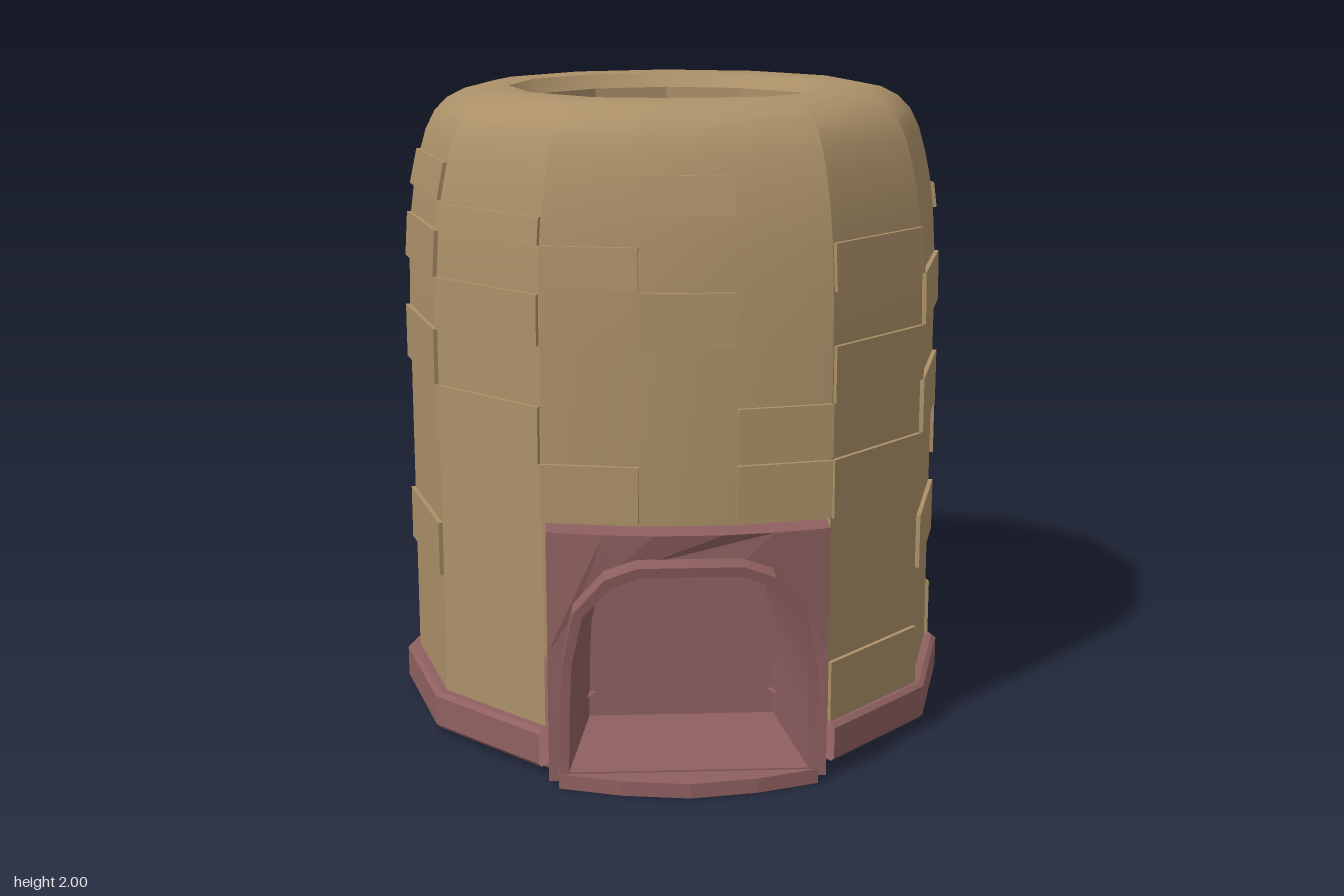
import * as THREE from 'three';
import { toCreasedNormals } from 'three/addons/utils/BufferGeometryUtils.js';

const clay = new THREE.MeshStandardMaterial({ color: 0xab9068, side: THREE.DoubleSide });
clay.name = 'sandyClay';
const brickRed = new THREE.MeshStandardMaterial({ color: 0x8f6060, side: THREE.DoubleSide });
brickRed.name = 'dustyRed';

const CENTRE_Z = -0.04;

// Unit plan: twelve-sided, with the front corner flattened into a shallow bow
const plan = [[0.165, 0.93]];
for (let k = 1; k < 12; k++) plan.push([Math.sin(k * Math.PI / 6), Math.cos(k * Math.PI / 6)]);
plan.push([-0.165, 0.93]);
const SIDES = plan.length;
const isFront = (j) => j === 0 || j >= 11;

// Joins a list of equal-length closed rings of [x, y, z] points
function skin(rings, crease, skip = () => false) {
  const n = rings[0].length;
  const index = [];
  for (let i = 0; i < rings.length - 1; i++) {
    for (let j = 0; j < n; j++) {
      if (skip(i, j)) continue;
      const a = i * n + j, b = i * n + (j + 1) % n;
      index.push(a, b, b + n, a, b + n, a + n);
    }
  }
  const g = new THREE.BufferGeometry();
  g.setAttribute('position', new THREE.Float32BufferAttribute(rings.flat(2), 3));
  g.setIndex(index);
  return toCreasedNormals(g, crease);
}

const planRing = ([r, y]) => plan.map(([x, z]) => [x * r, y, z * r + CENTRE_Z]);

// Tower outline, going up the outside
const outer = [
  [0.85, 0.14], [0.85, 0.78], [0.85, 1.3], [0.847, 1.46], [0.838, 1.6], [0.825, 1.7],
  [0.808, 1.78], [0.785, 1.86], [0.755, 1.92], [0.715, 1.96], [0.66, 1.988], [0.6, 2],
];
const inner = [[0.52, 1.995], [0.485, 1.95], [0.47, 0.14]];

function radiusAt(y) {
  for (let i = 1; i < outer.length; i++) {
    const [r0, y0] = outer[i - 1], [r1, y1] = outer[i];
    if (y <= y1) return r0 + (r1 - r0) * (y - y0) / (y1 - y0);
  }
  return outer[outer.length - 1][0];
}

// Thin raised block on one side of the tower, bent to follow the wall
function brickGeometry(side, y0, y1) {
  const g = new THREE.BoxGeometry(1, 1, 1);
  const p = g.attributes.position;
  const [ax, az] = plan[side], [bx, bz] = plan[(side + 1) % SIDES];
  for (let i = 0; i < p.count; i++) {
    const u = 0.01 + 0.98 * (p.getX(i) + 0.5);
    const y = y0 + (y1 - y0) * (p.getY(i) + 0.5);
    const r = radiusAt(y) + (p.getZ(i) > 0 ? 0.014 : -0.02);
    p.setXYZ(i, (ax + (bx - ax) * u) * r, y, (az + (bz - az) * u) * r + CENTRE_Z);
  }
  g.computeVertexNormals();
  return g;
}

// Half-arch as fractions of width and height, mirrored into a ring
const halfArch = [[1, 0], [0.99, 0.3], [0.97, 0.55], [0.88, 0.8], [0.64, 0.95], [0.4, 1]];
function arch(w, h, y0) {
  const right = halfArch.map(([x, y]) => [x * w, y0 + y * h]);
  return [...right, ...right.map(([x, y]) => [-x, y]).reverse()];
}

// Panel behind the arch, with its front bulging towards the top
function panelGeometry() {
  const pts = [[-0.385, 0], [-0.415, 0], [-0.415, 0.4], [-0.415, 0.775]];
  for (const x of [-0.25, -0.1, 0.1, 0.25]) pts.push([x, 0.775]);
  pts.push([0.415, 0.775], [0.415, 0.4], [0.415, 0]);
  pts.push(...arch(0.37, 0.68, 0));
  const shape = new THREE.Shape(pts.map(([x, y]) => new THREE.Vector2(x, y)));
  const g = new THREE.ExtrudeGeometry(shape, { depth: 1, bevelEnabled: false });
  const p = g.attributes.position;
  for (let i = 0; i < p.count; i++) {
    const x = p.getX(i), y = p.getY(i);
    const bulge = 0.06 * (1 - (x / 0.415) ** 2) * (y / 0.775) ** 2;
    p.setZ(i, p.getZ(i) > 0.5 ? 0.775 + bulge : 0.68);
  }
  g.computeVertexNormals();
  return g;
}

export function createModel() {
  const model = new THREE.Group();
  const add = (name, geometry, material, parent = model) => {
    const mesh = new THREE.Mesh(geometry, material);
    mesh.name = name;
    parent.add(mesh);
    return mesh;
  };

  // Hollow tower, left open in front for the doorway
  add('towerWall', skin([...outer, ...inner].map(planRing), 0.45,
    (i, j) => i === 0 && isFront(j)), clay);

  // Foundation with underside, outer lip and chamber floor
  const base = [[0, 0], [0.83, 0], [0.83, 0.02], [0.875, 0.02], [0.89, 0.035],
    [0.89, 0.13], [0.875, 0.142], [0.46, 0.142], [0, 0.142]];
  add('foundation', skin(base.map(planRing), 0.4,
    (i, j) => i >= 1 && i <= 6 && isFront(j)), brickRed);

  // Raised bricks: side of the plan, then [bottom, top] of each
  const bricks = new THREE.Group();
  bricks.name = 'raisedBricks';
  model.add(bricks);
  const layout = {
    0: [[0.79, 0.96], [0.97, 1.13]],
    1: [[0.14, 0.33], [0.78, 0.96], [1.13, 1.3], [1.46, 1.6]],
    2: [[0.52, 0.69], [0.96, 1.13], [1.3, 1.46]],
    3: [[0.14, 0.33], [0.78, 0.96], [1.6, 1.68]],
    4: [[0.33, 0.52], [1.13, 1.3], [1.3, 1.46]],
    5: [[0.14, 0.33], [0.78, 0.96], [0.96, 1.13]],
    6: [[0.33, 0.52], [0.96, 1.13], [1.3, 1.46]],
    7: [[0.14, 0.33], [0.69, 0.78], [0.78, 0.96]],
    9: [[0.52, 0.69], [1.13, 1.3], [1.46, 1.6], [1.69, 1.8]],
    10: [[0.96, 1.13], [1.31, 1.46], [1.6, 1.68]],
    11: [[0.79, 0.96], [1.48, 1.6]],
    12: [[1.31, 1.47], [1.69, 1.8]],
  };
  for (const [side, rows] of Object.entries(layout)) {
    for (const [y0, y1] of rows) add('brick', brickGeometry(Number(side), y0, y1), clay, bricks);
  }

  // Doorway: panel, flared arch with tapering recess, back wall and sill
  const door = new THREE.Group();
  door.name = 'doorway';
  model.add(door);
  add('doorPanel', panelGeometry(), brickRed, door);

  const flare = (y) => 0.83 + 0.07 * (y / 0.7) ** 2;
  const ring = (pts, z) => pts.map(([x, y]) => [x, y, z(y)]);
  const mouth = arch(0.355, 0.62, 0.05), back = arch(0.29, 0.56, 0.06);
  add('doorArch', skin([
    ring(arch(0.385, 0.7, 0), () => 0.72),
    ring(arch(0.385, 0.7, 0), flare),
    ring(mouth, flare),
    ring(back, () => 0.42),
  ], 0.4), brickRed, door);

  const backShape = new THREE.Shape(back.map(([x, y]) => new THREE.Vector2(x, y)));
  add('recessBack', new THREE.ShapeGeometry(backShape).translate(0, 0, 0.42), brickRed, door);

  const sill = [[-0.385, 0.7], [0.385, 0.7], [0.385, 0.83], [0.2, 0.89], [0, 0.92], [-0.2, 0.89], [-0.385, 0.83]];
  const sillShape = new THREE.Shape(sill.map(([x, z]) => new THREE.Vector2(x, -z)));
  add('doorSill', new THREE.ExtrudeGeometry(sillShape, { depth: 0.045, bevelEnabled: false })
    .rotateX(-Math.PI / 2), brickRed, door);

  return model;
}
